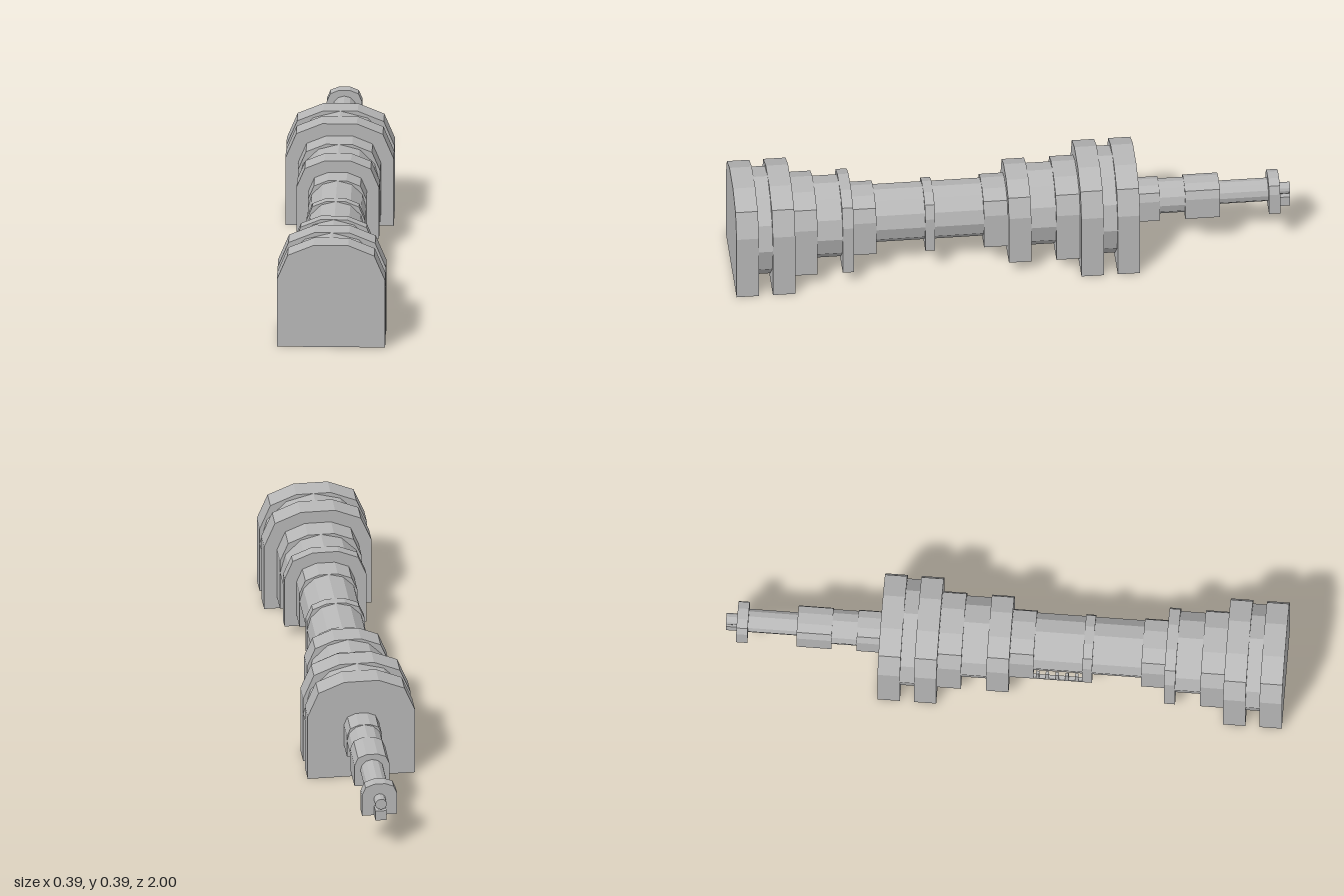
import * as THREE from 'three';

const AXIS = 0.193; // height of the long axis

export function createModel() {
  const group = new THREE.Group();
  const grey = new THREE.MeshStandardMaterial({ color: 0xb8b8b8, flatShading: true });
  grey.name = 'grey';

  function add(name, geometry) {
    const mesh = new THREE.Mesh(geometry, grey);
    mesh.name = name;
    group.add(mesh);
    return mesh;
  }

  // Collar: arched top, square bottom, spanning z0..z1
  function collar(name, r, z0, z1) {
    const outline = [
      [-1, -1], [1, -1], [1, 0.32], [0.8, 0.8], [0.32, 1],
      [-0.32, 1], [-0.8, 0.8], [-1, 0.32],
    ].map(([x, y]) => new THREE.Vector2(x * r, y * r));
    const geo = new THREE.ExtrudeGeometry(new THREE.Shape(outline), {
      depth: z1 - z0, bevelEnabled: false,
    });
    add(name, geo).position.set(0, AXIS, z0);
  }

  // Twelve-sided rod along z
  function rod(name, r, z0, z1, y = AXIS) {
    const geo = new THREE.CylinderGeometry(r, r, z1 - z0, 12).rotateX(Math.PI / 2);
    add(name, geo).position.set(0, y, (z0 + z1) / 2);
  }

  function box(name, x0, x1, y0, y1, z0, z1) {
    add(name, new THREE.BoxGeometry(x1 - x0, y1 - y0, z1 - z0))
      .position.set((x0 + x1) / 2, (y0 + y1) / 2, (z0 + z1) / 2);
  }

  // Body sections: collars separated by exposed rod
  const sections = [
    { name: 'frontHead', r: 0.193, collars: [[0.79, 0.87], [0.92, 1]] },
    { name: 'frontShoulder', r: 0.147, collars: [[0.575, 0.615], [0.705, 0.79]] },
    { name: 'neck', r: 0.104, collars: [[0.02, 0.105], [0.28, 0.315], [0.49, 0.575]] },
    { name: 'rearShoulder', r: 0.147, collars: [[-0.235, -0.15], [-0.06, 0.02]] },
    { name: 'rearHead', r: 0.193, collars: [[-0.445, -0.365], [-0.315, -0.235]] },
    { name: 'handle', r: 0.063, collars: [[-0.745, -0.62], [-0.53, -0.445]] },
  ];
  for (const { name, r, collars } of sections) {
    for (const [z0, z1] of collars) collar(name + 'Collar', r, z0, z1);
    // exposed rods only in the gaps
    for (let i = 0; i + 1 < collars.length; i++) {
      rod(name + 'Rod', r, collars[i][1], collars[i + 1][0]);
    }
  }

  // Thin shaft and end plate
  rod('shaft', 0.042, -0.92, -0.745);
  collar('endPlate', 0.063, -0.96, -0.92);

  // End knob and tooth
  rod('endKnob', 0.021, -1, -0.96, 0.195);
  box('endTooth', -0.02, 0.02, 0.13, 0.168, -1, -0.96);

  // Small railing on the right side of the neck
  box('railingBase', -0.104, -0.088, 0.089, 0.097, 0.105, 0.28);
  for (let i = 0; i < 5; i++) {
    const z = 0.12 + i * 0.035;
    box('railingPost', -0.104, -0.092, 0.097, 0.14, z - 0.006, z + 0.006);
  }

  return group;
}
